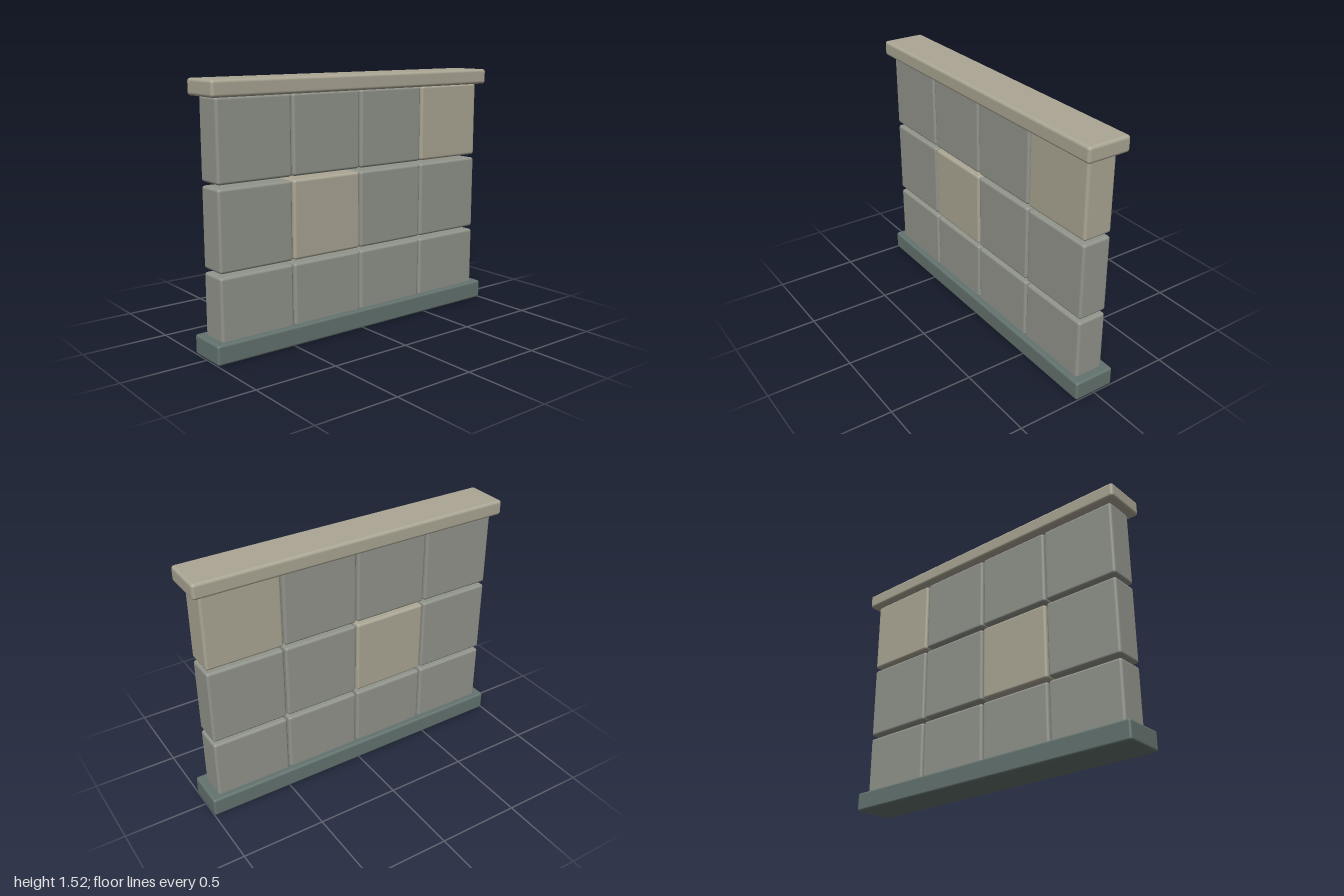
import * as THREE from 'three';
import { RoundedBoxGeometry } from 'three/addons/geometries/RoundedBoxGeometry.js';

const material = (color) => new THREE.MeshStandardMaterial({ color });

export function createModel() {
  const wall = new THREE.Group();
  wall.name = 'blockWall';

  const grey = material(0x91948b);
  const sand = material(0xaba694);
  const slate = material(0x64736f);

  // Box with softened edges, placed by its centre
  const addBlock = (name, size, position, radius, mat) => {
    const mesh = new THREE.Mesh(new RoundedBoxGeometry(...size, 3, radius), mat);
    mesh.name = name;
    mesh.position.set(...position);
    wall.add(mesh);
  };

  // Footing and coping
  addBlock('base', [2, 0.115, 0.254], [0, 0.0575, 0], 0.014, slate);
  addBlock('cap', [1.99, 0.092, 0.266], [0, 1.474, 0], 0.018, sand);

  // Three courses of four blocks with narrow open joints; two blocks are sand coloured
  const pitchX = 0.477, pitchY = 0.479;
  for (let row = 0; row < 3; row++) {
    for (let col = 0; col < 4; col++) {
      const isSand = (row === 1 && col === 1) || (row === 2 && col === 3);
      addBlock(
        `block_row${row + 1}_col${col + 1}`,
        [0.468, 0.458, 0.18],
        [(col - 1.5) * pitchX - 0.001, 0.242 + row * pitchY, 0],
        0.016,
        isSand ? sand : grey
      );
    }
  }
  return wall;
}
